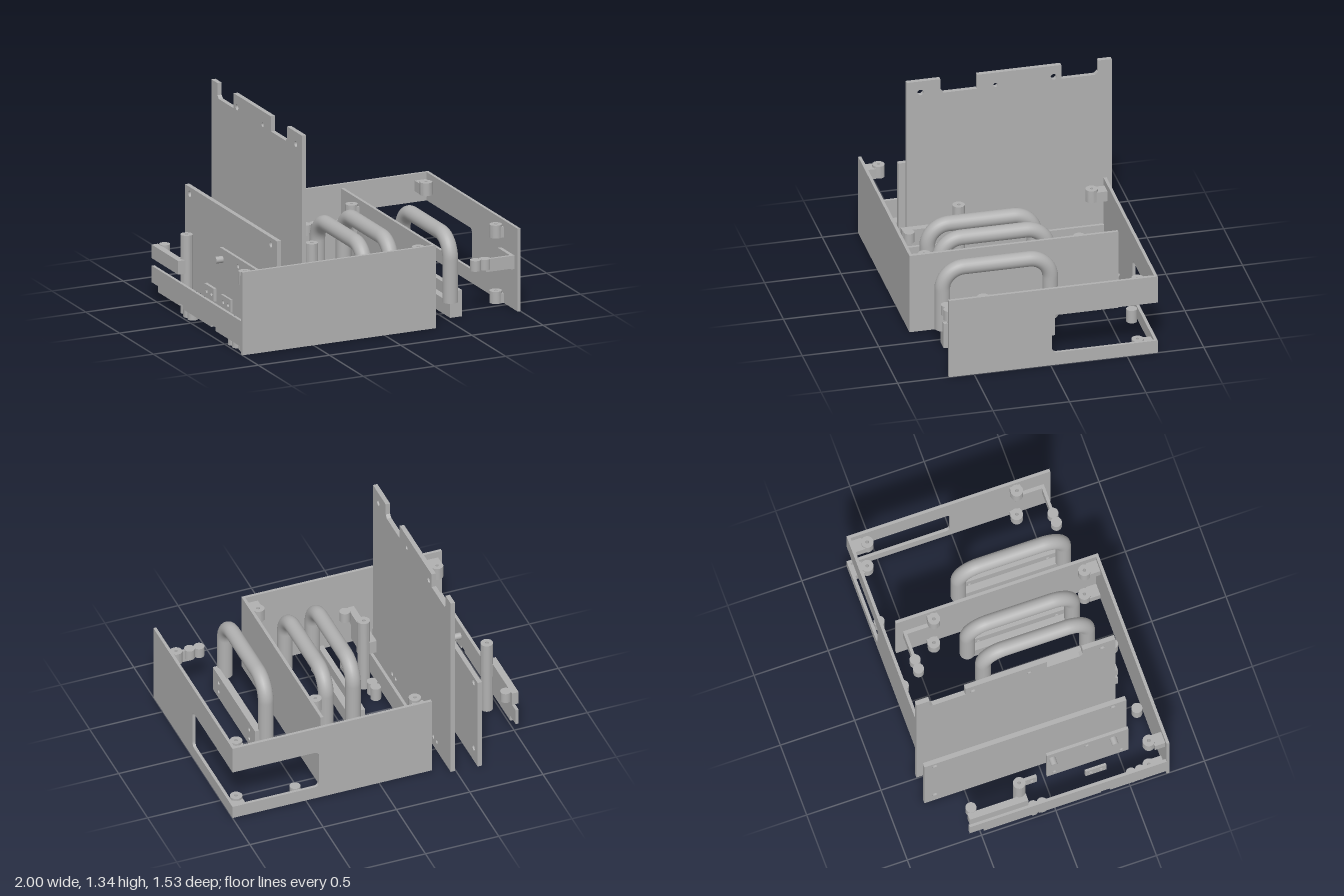
import * as THREE from 'three';
import { toCreasedNormals } from 'three/addons/utils/BufferGeometryUtils.js';

const grey = new THREE.MeshStandardMaterial({ color: 0xb0b0b0 });
grey.name = 'plain grey';

function add(parent, name, geometry, x = 0, y = 0, z = 0) {
  const mesh = new THREE.Mesh(geometry, grey);
  mesh.name = name;
  mesh.position.set(x, y, z);
  parent.add(mesh);
  return mesh;
}

// Box given by its limits
function box(parent, name, x0, x1, y0, y1, z0, z1) {
  const g = new THREE.BoxGeometry(Math.abs(x1 - x0), y1 - y0, Math.abs(z1 - z0));
  return add(parent, name, g, (x0 + x1) / 2, (y0 + y1) / 2, (z0 + z1) / 2);
}

// Upright round peg
function peg(parent, name, x, z, y0, y1, r = 0.035) {
  add(parent, name, new THREE.CylinderGeometry(r, r, y1 - y0, 24), x, (y0 + y1) / 2, z);
}

// Upright post with a bore
function post(parent, name, x, z, y0, y1) {
  const p = [[0.011, 0], [0.04, 0], [0.04, y1 - y0], [0.011, y1 - y0], [0.011, 0]];
  const g = new THREE.LatheGeometry(p.map(a => new THREE.Vector2(...a)), 24);
  add(parent, name, toCreasedNormals(g, 0.6), x, y0, z);
}

function shapeOf(points) {
  return new THREE.Shape(points.map(p => new THREE.Vector2(...p)));
}

function drill(shape, holes, r) {
  for (const [z, y] of holes) {
    const h = new THREE.Path();
    h.absarc(z, y, r, 0, Math.PI * 2, true);
    shape.holes.push(h);
  }
}

function slab(shape, depth) {
  return new THREE.ExtrudeGeometry(shape, { depth, bevelEnabled: false, curveSegments: 10 });
}

// Flat board standing in the z-y plane, between x0 and x1
function board(parent, name, shape, x0, x1) {
  return add(parent, name, slab(shape, x1 - x0).rotateY(-Math.PI / 2), x1, 0, 0);
}

function rect(z0, z1, y0, y1) {
  return shapeOf([[z0, y0], [z1, y0], [z1, y1], [z0, y1]]);
}

// Wall whose window opens at the corner end, with rounded far corners
function windowWall(length, w) {
  const s = new THREE.Shape(), r = 0.035, lo = 0.088, hi = 0.362;
  s.moveTo(0, 0);
  s.lineTo(length, 0);
  s.lineTo(length, 0.55);
  s.lineTo(0, 0.55);
  s.lineTo(0, hi);
  s.lineTo(w - r, hi);
  s.quadraticCurveTo(w, hi, w, hi - r);
  s.lineTo(w, lo + r);
  s.quadraticCurveTo(w, lo, w - r, lo);
  s.lineTo(0, lo);
  return slab(s, 0.02);
}

// One half of the case; d runs inward from the end wall, dir is its sense along z
function caseHalf(name, cx, zWall, dir, windows) {
  const g = new THREE.Group();
  g.name = name;
  const Z = d => zWall + dir * d;
  const bx = (n, x0, x1, y0, y1, d0, d1) => box(g, n, cx + x0, cx + x1, y0, y1, Z(d0), Z(d1));
  if (windows) {
    add(g, 'endWall', windowWall(1.36, 0.59).rotateY(Math.PI), cx + 0.68, 0, zWall + 0.02);
    add(g, 'sideWall', windowWall(1.365, 0.69).rotateY(-Math.PI / 2), cx + 0.68, 0, zWall);
  } else {
    bx('endWall', -0.68, 0.68, 0, 0.55, 0, 0.02);
    bx('sideWall', 0.66, 0.68, 0, 0.55, 0.02, 1.365);
  }
  // Low rail with a stepped lower edge
  const rail = [[0.02, 0.05], [0.4, 0.05], [0.4, 0.075], [0.46, 0.075], [0.46, 0.06], [0.88, 0.06],
    [0.88, 0.085], [0.93, 0.085], [0.93, 0.07], [1.25, 0.07], [1.25, 0.11], [1.345, 0.11],
    [1.345, 0.22], [0.02, 0.22]];
  board(g, 'lowRail', shapeOf(rail.map(([d, y]) => [Z(d), y])), cx - 0.68, cx - 0.66);
  // Screw posts and the blocks tying them to the walls
  for (const [y0, y1] of [[0, 0.08], [0.435, 0.52]]) {
    for (const sx of [-1, 1]) {
      post(g, 'cornerPost', cx + sx * 0.61, Z(0.115), y0, y1);
      bx('cornerBlock', sx * 0.575, sx * 0.655, y0, y1 - 0.015, 0.02, 0.09);
    }
    post(g, 'sidePost', cx + 0.62, Z(1.125), y0, y1);
    bx('sidePostBlock', 0.635, 0.66, y0, y1 - 0.015, 1.09, 1.16);
  }
  post(g, 'tallPost', cx - 0.605, Z(0.985), 0, 0.52);
  // Clip arms with paired pegs
  bx('leftClipPlate', -0.68, -0.635, 0.27, 0.36, 0.95, 1.345);
  bx('leftClipTab', -0.66, -0.605, 0.295, 0.36, 1.295, 1.325);
  bx('leftClipRoot', -0.66, -0.63, 0.27, 0.36, 0.95, 1.02);
  peg(g, 'leftClipPeg', cx - 0.605, Z(1.31), 0.295, 0.365);
  bx('rightClipPlate', 0.635, 0.66, 0.27, 0.36, 1.125, 1.32);
  bx('rightClipArm', 0.46, 0.66, 0.275, 0.36, 1.3, 1.32);
  for (const x of [0.39, 0.455]) peg(g, 'rightClipPeg', cx + x, Z(1.31), 0.295, 0.365);
  // Locating pegs along the base
  for (const d of [0.18, 0.24, 0.84, 0.9]) peg(g, 'basePeg', cx - 0.63, Z(d), 0, 0.09);
  for (const x of [-0.23, 0.23]) peg(g, 'wallPeg', cx + x, Z(0.06), 0, 0.09);
  return g;
}

// Bent tube handle with its drilled foot bar on one side
function handle(x, z0, z1, side) {
  const g = new THREE.Group();
  g.name = 'handle';
  const V = (y, z) => new THREE.Vector3(0, y, z);
  const R = 0.05, r = 0.14, a = z0 + R, b = z1 - R, top = 0.53, low = 0.105, k = r * 0.45;
  const path = new THREE.CurvePath();
  path.add(new THREE.LineCurve3(V(low, a), V(top - r, a)));
  path.add(new THREE.CubicBezierCurve3(V(top - r, a), V(top - k, a), V(top, a + k), V(top, a + r)));
  path.add(new THREE.LineCurve3(V(top, a + r), V(top, b - r)));
  path.add(new THREE.CubicBezierCurve3(V(top, b - r), V(top, b - k), V(top - k, b), V(top - r, b)));
  path.add(new THREE.LineCurve3(V(top - r, b), V(low, b)));
  add(g, 'grip', new THREE.TubeGeometry(path, 80, R, 24), x);
  for (const z of [a, b]) add(g, 'gripEnd', new THREE.CircleGeometry(R, 24).rotateX(Math.PI / 2), x, low, z);
  // Foot bar
  const f0 = z0 + 0.038, f1 = z1 - 0.04;
  const foot = rect(f0, f1, 0, 0.175);
  drill(foot, [f0 + 0.1, f1 - 0.1].flatMap(z => [[z, 0.05], [z, 0.12]]), 0.014);
  const xs = [x + side * 0.042, x + side * 0.078];
  board(g, 'footPlate', foot, Math.min(...xs), Math.max(...xs));
  box(g, 'footBase', x - side * 0.005, x + side * 0.042, 0, 0.1, f0, f1);
  return g;
}

export function createModel() {
  const model = new THREE.Group();
  model.name = 'explodedCase';
  model.add(caseHalf('rearCaseHalf', 0.32, -0.7, 1, true));
  model.add(caseHalf('frontCaseHalf', -0.32, 0.765, -1, false));
  model.add(handle(-0.04, -0.2, 0.6, -1));
  model.add(handle(0.16, -0.235, 0.57, 1));
  model.add(handle(0.54, -0.16, 0.645, 1));

  // Tall notched panel
  const tall = shapeOf([[-0.76, 0], [0.58, 0], [0.58, 1.34], [0.36, 1.34], [0.36, 1.26], [0.34, 1.24],
    [0.12, 1.24], [0.12, 1.34], [-0.43, 1.34], [-0.43, 1.24], [-0.65, 1.24], [-0.67, 1.26],
    [-0.67, 1.34], [-0.76, 1.34]]);
  drill(tall, [[0.49, 1.26], [-0.38, 1.26]], 0.02);
  drill(tall, [[0, 1.25], [0.25, 0.07], [0.19, 0.07], [-0.46, 0.07], [-0.52, 0.07]], 0.015);
  board(model, 'tallPanel', tall, -0.495, -0.465);

  // Lower panel
  const lower = rect(-0.77, 0.59, 0, 0.665);
  drill(lower, [[-0.7, 0.62], [-0.7, 0.1], [0.5, 0.62], [0.5, 0.1]], 0.02);
  board(model, 'lowerPanel', lower, -0.675, -0.645);

  // Small circuit plate with sockets
  const plate = rect(0.01, 0.56, 0.1, 0.48);
  drill(plate, [[0.06, 0.15], [0.51, 0.15], [0.28, 0.43]], 0.015);
  board(model, 'circuitPlate', plate, -0.8, -0.78);
  for (const z of [0.045, 0.455]) {
    add(model, 'socket', new THREE.CylinderGeometry(0.022, 0.022, 0.05, 20).rotateZ(Math.PI / 2), -0.825, 0.41, z);
  }

  // Small drilled tabs
  for (const [x0, x1, z0, z1, y0] of [[-0.81, -0.79, -0.2, -0.06, 0.1], [-0.9, -0.885, 0.235, 0.375, 0.16],
    [-0.235, -0.215, 0.375, 0.515, 0]]) {
    const tab = rect(z0, z1, y0, y0 + 0.085);
    drill(tab, [[z0 + 0.035, y0 + 0.042], [z1 - 0.035, y0 + 0.042]], 0.014);
    board(model, 'drilledTab', tab, x0, x1);
  }
  return model;
}
